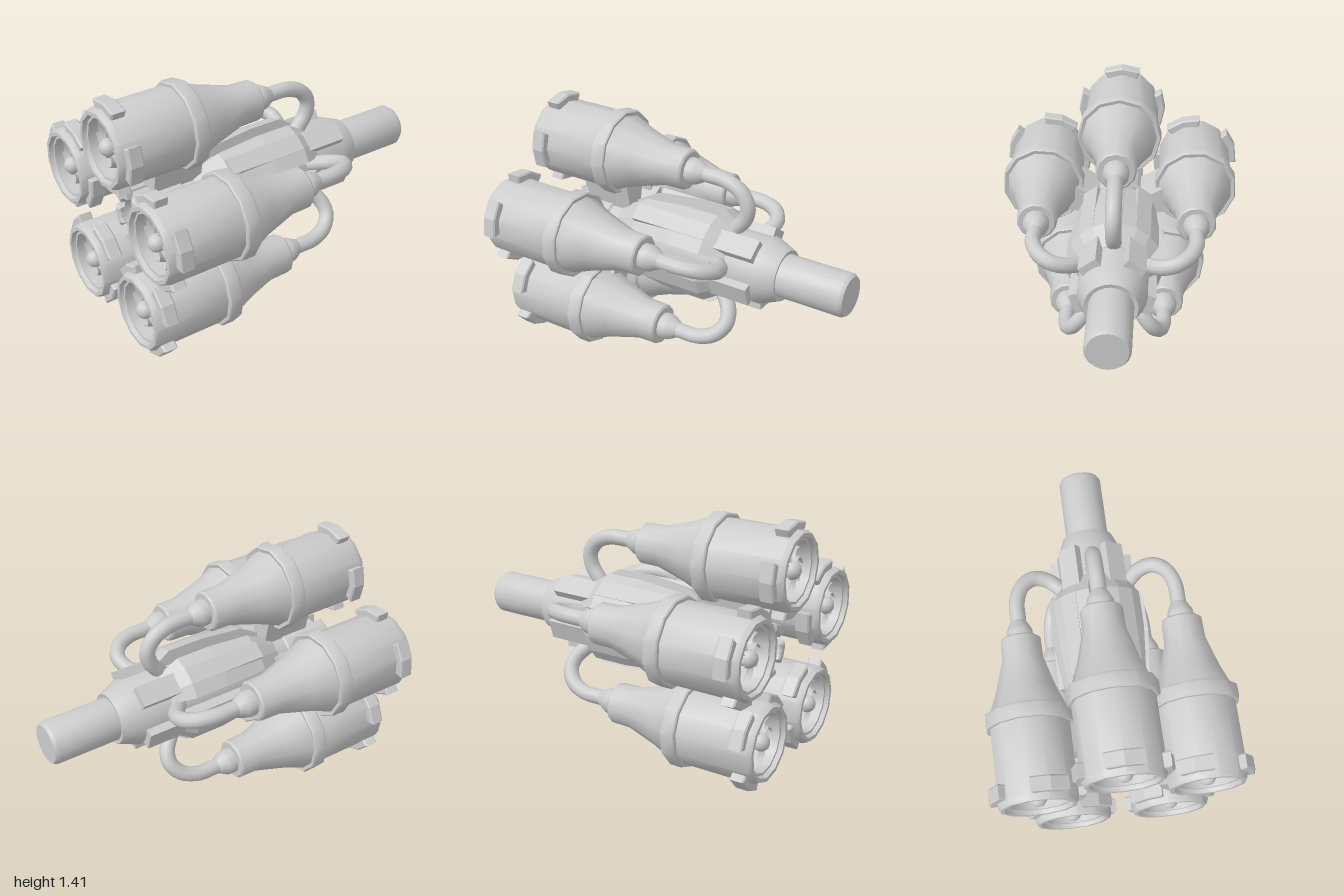
import * as THREE from 'three';
import { toCreasedNormals } from 'three/addons/utils/BufferGeometryUtils.js';

const AXIS_Y = 0.65, RING = 0.485, STEP = Math.PI * 2 / 5, RAD = Math.PI / 180;
const smooth = new THREE.MeshStandardMaterial({ color: 0xcccccc, side: THREE.DoubleSide });
const flat = new THREE.MeshStandardMaterial({ color: 0xcccccc, side: THREE.DoubleSide, flatShading: true });

function mesh(parent, name, geometry, material = smooth) {
  const m = new THREE.Mesh(geometry, material);
  m.name = name;
  parent.add(m);
  return m;
}

// Turned part along z; profile is [radius, z] from back to front
function turned(profile, sides, crease = 0.6) {
  const g = new THREE.LatheGeometry(profile.map(p => new THREE.Vector2(...p)), sides);
  g.rotateX(Math.PI / 2);
  return toCreasedNormals(g, crease);
}

// Faceted arc block centred on the given angle in the xy plane
function arcBlock(r0, r1, mid, half, segs, z0, z1, bevel) {
  const pts = [];
  const at = (r, a) => pts.push(new THREE.Vector2(r * Math.cos(a), r * Math.sin(a)));
  for (let i = 0; i <= segs; i++) at(r1, mid - half + 2 * half * i / segs);
  for (let i = segs; i >= 0; i--) at(r0, mid - half + 2 * half * i / segs);
  const g = new THREE.ExtrudeGeometry(new THREE.Shape(pts), {
    depth: z1 - z0 - bevel, bevelEnabled: bevel > 0, bevelThickness: bevel,
    bevelSize: bevel, bevelOffset: -bevel, bevelSegments: 1,
  });
  return g.translate(0, 0, z0 + bevel / 2);
}

// Curved fan blade: sweeps sideways as it runs outward and twists as it goes back
function bladeGeometry() {
  const g = new THREE.PlaneGeometry(1, 1, 6, 2), p = g.attributes.position;
  for (let i = 0; i < p.count; i++) {
    const u = p.getX(i) + 0.5, v = 0.5 - p.getY(i);
    const r = 0.035 + 0.135 * u, a = -0.75 * u * u + 0.28 * v;
    p.setXYZ(i, r * Math.cos(a), r * Math.sin(a), 0.95 - 0.02 * u - 0.08 * v);
  }
  g.computeVertexNormals();
  return g;
}

function createEngine() {
  const engine = new THREE.Group();
  engine.name = 'engine';
  mesh(engine, 'engineShell', turned([
    [0, 0.03], [0.107, 0.03], [0.117, 0.04], [0.12, 0.16], [0.172, 0.34], [0.222, 0.47],
    [0.243, 0.465], [0.25, 0.475], [0.25, 0.545], [0.243, 0.552], [0.226, 0.552],
    [0.226, 0.97], [0.212, 1], [0.19, 1], [0.182, 0.975], [0.168, 0.975],
    [0.162, 0.87], [0.1, 0.82], [0, 0.82],
  ], 12));
  // Fan
  const blade = bladeGeometry();
  for (let i = 0; i < 10; i++) mesh(engine, 'fanBlade', blade).rotation.z = i * Math.PI / 5;
  mesh(engine, 'fanHub', new THREE.SphereGeometry(0.05, 16, 12)).position.z = 0.945;
  mesh(engine, 'fanShaft', turned([[0.04, 0.82], [0.04, 0.95]], 12));
  // Clamps around the mouth
  for (let i = 0; i < 4; i++)
    mesh(engine, 'clamp', arcBlock(0.2, 0.267, i * Math.PI / 2, 24 * RAD, 2, 0.885, 0.96, 0.008), flat);
  // Pipe fitting and the pipe curling back to the core
  mesh(engine, 'pipeFitting', turned([
    [0.045, -0.075], [0.072, -0.025], [0.076, -0.01], [0.076, 0.03],
  ], 12));
  const path = new THREE.CatmullRomCurve3([
    [0, 0], [0, -0.1], [-0.004, -0.2], [-0.045, -0.295], [-0.12, -0.345],
    [-0.2, -0.335], [-0.265, -0.29], [-0.35, -0.22],
  ].map(([y, z]) => new THREE.Vector3(0, y, z)));
  mesh(engine, 'pipe', new THREE.TubeGeometry(path, 24, 0.045, 10));
  return engine;
}

// Faceted body lobe pointing down, with its two side walls
function createLobe() {
  const lobe = new THREE.Group();
  lobe.name = 'bodyLobe';
  const half = 27 * RAD;
  const profile = [[0.1, -0.3], [0.2, -0.3], [0.278, -0.18], [0.278, 0.03], [0.25, 0.3], [0.155, 0.47], [0.1, 0.47]]
    .map(p => new THREE.Vector2(...p));
  mesh(lobe, 'lobeSkin', new THREE.LatheGeometry(profile, 3, -half, 2 * half).rotateX(Math.PI / 2), flat);
  for (const s of [-1, 1])
    mesh(lobe, 'lobeWall', new THREE.ShapeGeometry(new THREE.Shape(profile))
      .rotateY(s * half - Math.PI / 2).rotateX(Math.PI / 2), flat);
  // Long flat rail lying on the lobe and running on behind it
  mesh(lobe, 'rail', new THREE.BoxGeometry(0.12, 0.07, 0.78).translate(0, -0.2, -0.09), flat);
  mesh(lobe, 'railCover', new THREE.BoxGeometry(0.1, 0.05, 0.48).translate(0, -0.25, 0.06), flat);
  return lobe;
}

export function createModel() {
  const model = new THREE.Group();
  model.name = 'engineCluster';
  const body = new THREE.Group();
  body.name = 'cluster';
  body.position.y = AXIS_Y;
  model.add(body);

  // Central core with rear shaft and dished front
  mesh(body, 'core', turned([
    [0, -1], [0.112, -1], [0.125, -0.98], [0.125, -0.6], [0.148, -0.605], [0.195, -0.49],
    [0.195, 0.3], [0.148, 0.45], [0.148, 0.8], [0.11, 0.82], [0.1, 0.75], [0.07, 0.71], [0, 0.7],
  ], 24));
  mesh(body, 'coreDome', new THREE.SphereGeometry(0.075, 20, 12)).position.z = 0.71;

  const strut = new THREE.ExtrudeGeometry(new THREE.Shape([
    [-0.045, 0.12], [0.045, 0.12], [0.08, 0.3], [-0.08, 0.3],
  ].map(p => new THREE.Vector2(...p))), { depth: 0.3, bevelEnabled: false }).translate(0, 0, 0.42);

  for (let k = 0; k < 5; k++) {
    const arm = new THREE.Group();
    arm.name = 'arm';
    arm.rotation.z = k * STEP;
    body.add(arm);
    const engine = createEngine();
    engine.position.y = RING;
    arm.add(engine);
    mesh(arm, 'strut', strut, flat);
    // Lobes and nose segments sit between the engines
    const lobe = createLobe();
    lobe.rotation.z = 0;
    arm.add(lobe);
    mesh(arm, 'noseSegment', arcBlock(0.11, 0.16, -Math.PI / 2, 24 * RAD, 3, 0.55, 0.85, 0.01), flat);
  }
  return model;
}
